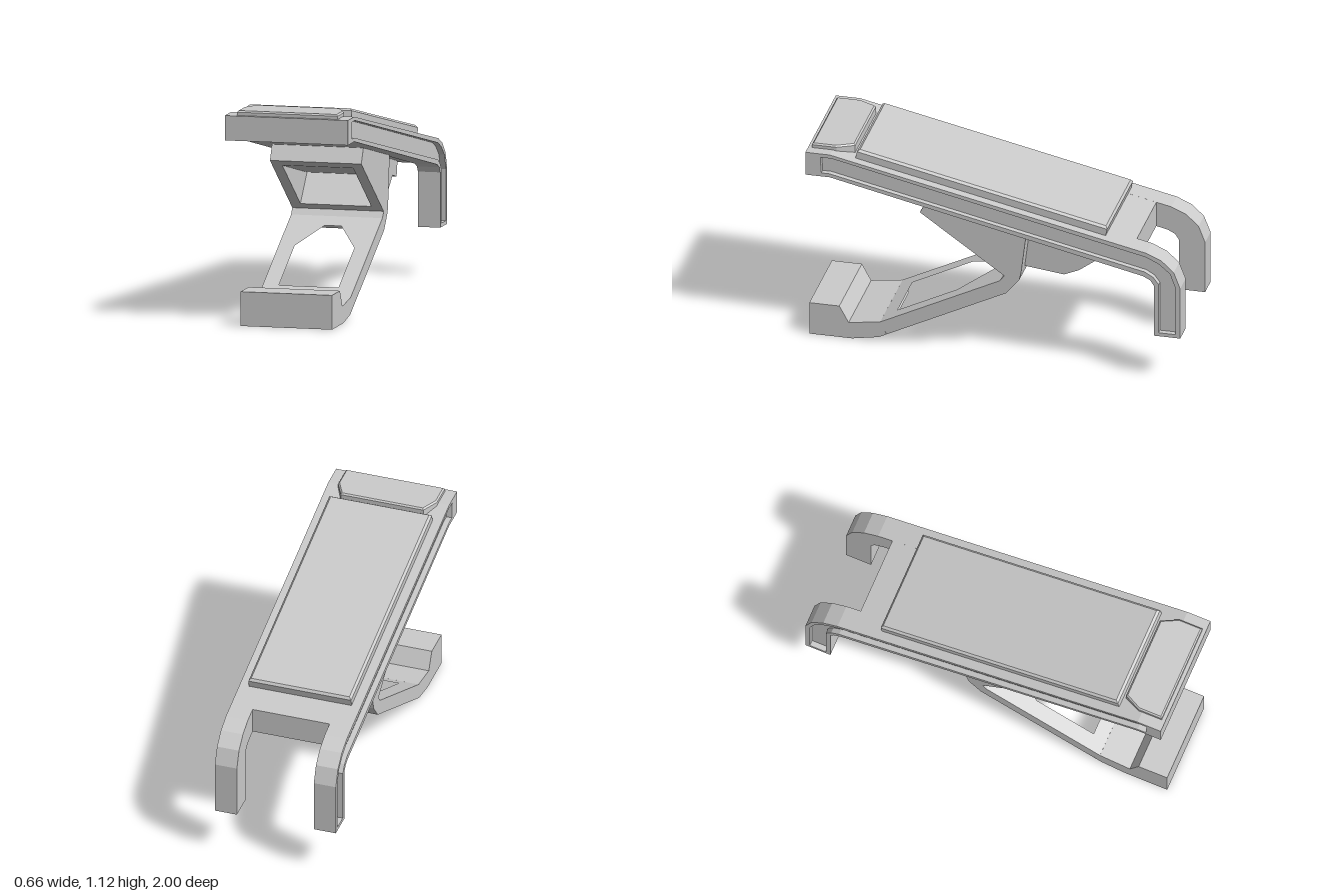
import * as THREE from 'three';

const material = new THREE.MeshStandardMaterial({ color: 0xcccccc, flatShading: true });
const toShape = (pts) => new THREE.Shape(pts.map(([a, b]) => new THREE.Vector2(a, b)));

// Side profile of [z, y] points, extruded across from x0 to x1
function profile(name, pts, x0, x1, hole) {
  const shape = toShape(pts);
  if (hole) shape.holes.push(toShape(hole));
  const geo = new THREE.ExtrudeGeometry(shape, { depth: x1 - x0, bevelEnabled: false });
  geo.rotateY(-Math.PI / 2).translate(x1, 0, 0);
  const mesh = new THREE.Mesh(geo, material);
  mesh.name = name;
  return mesh;
}

// Flat plate of [x, z] points rising from y = 0, with an optional chamfer
function slab(name, pts, height, bevel = 0, hole) {
  const flip = (list) => list.map(([x, z]) => [x, -z]);
  const shape = toShape(flip(pts));
  if (hole) shape.holes.push(toShape(flip(hole)));
  const geo = new THREE.ExtrudeGeometry(shape, {
    depth: height - 2 * bevel, bevelEnabled: bevel > 0, bevelSegments: 1,
    bevelSize: bevel, bevelThickness: bevel, bevelOffset: -bevel,
  });
  geo.translate(0, 0, bevel).rotateX(-Math.PI / 2);
  const mesh = new THREE.Mesh(geo, material);
  mesh.name = name;
  return mesh;
}

export function createModel() {
  const model = new THREE.Group();
  model.name = 'model';

  // Sloping body: centre deck plus two side rails that hook down at the back
  const deck = [[1, 0.97], [1, 1.1], [0.87, 1.1], [-0.74, 0.752], [-0.74, 0.614], [0.87, 0.97]];
  const rail = [
    [1, 0.97], [1, 1.1], [0.87, 1.1], [-0.82, 0.735], [-0.9, 0.7], [-0.965, 0.64], [-1, 0.55],
    [-1, 0.26], [-0.86, 0.26], [-0.86, 0.55], [-0.84, 0.58], [-0.8, 0.6], [0.87, 0.97],
  ];
  const groove = [
    [0.915, 0.99], [0.92, 1.08], [0.86, 1.08], [-0.815, 0.712], [-0.885, 0.68], [-0.945, 0.63],
    [-0.975, 0.55], [-0.975, 0.28], [-0.885, 0.28], [-0.885, 0.56], [-0.855, 0.6],
    [-0.81, 0.625], [0.87, 0.99],
  ];
  model.add(profile('deck', deck, -0.21, 0.21));
  for (const side of [-1, 1]) {
    const span = (a, b) => (side > 0 ? [a, b] : [-b, -a]);
    model.add(profile('sideRail', rail, ...span(0.21, 0.3)));
    model.add(profile('grooveRim', rail, ...span(0.3, 0.33), groove));
  }

  // Raised pad along the slope
  const pad = slab('topPad', [[-0.28, -0.683], [0.28, -0.683], [0.28, 0.683], [-0.28, 0.683]], 0.075, 0.012);
  pad.rotation.x = -Math.atan(0.216);
  pad.position.set(0, 0.905, 0.083);
  model.add(pad);

  // Level pad at the front end
  const frontPad = slab('frontPad', [
    [-0.27, 0.98], [0.27, 0.98], [0.27, 0.85], [0.225, 0.76], [-0.225, 0.76], [-0.27, 0.85],
  ], 0.065, 0.008);
  frontPad.position.y = 1.06;
  model.add(frontPad);

  // Bracket under the deck: solid cheeks, and a middle with a pocket in its underside
  const lower = [[-0.04, 0.465], [-0.016, 0.433], [-0.05, 0.365], [-0.12, 0.45], [-0.13, 0.495], [-0.162, 0.76]];
  const upper = [[0.36, 0.875], [0.41, 0.78]];
  const pocket = [[0.367, 0.75], [-0.13, 0.64], [0.003, 0.495]];
  model.add(profile('bracketMiddle', [...upper, ...pocket, ...lower], -0.19, 0.19));
  model.add(profile('bracketCheek', [...upper, ...lower], 0.19, 0.245));
  model.add(profile('bracketCheek', [...upper, ...lower], -0.245, -0.19));

  // Narrow catch behind the bracket
  model.add(profile('rearCatch', [
    [-0.13, 0.495], [-0.34, 0.47], [-0.42, 0.505], [-0.52, 0.58], [-0.6, 0.56], [-0.62, 0.65], [-0.16, 0.75],
  ], -0.165, 0.165));

  // Sloping leg with a window narrowed at its upper end
  const leg = slab('leg', [[-0.245, 0], [0.245, 0], [0.245, 0.713], [-0.245, 0.713]], 0.076, 0, [
    [-0.045, 0.085], [0.045, 0.085], [0.16, 0.275], [0.16, 0.633], [-0.16, 0.633], [-0.16, 0.275],
  ]);
  leg.rotation.x = Math.atan(0.5);
  leg.position.set(0, 0.365, -0.05);
  model.add(leg);

  // Foot with a raised front block
  model.add(profile('foot', [
    [0.622, 0.114], [0.79, 0.09], [0.84, 0.18], [1, 0.18], [1, 0], [0.77, 0], [0.63, 0.025], [0.588, 0.046],
  ], -0.245, 0.245));

  return model;
}
